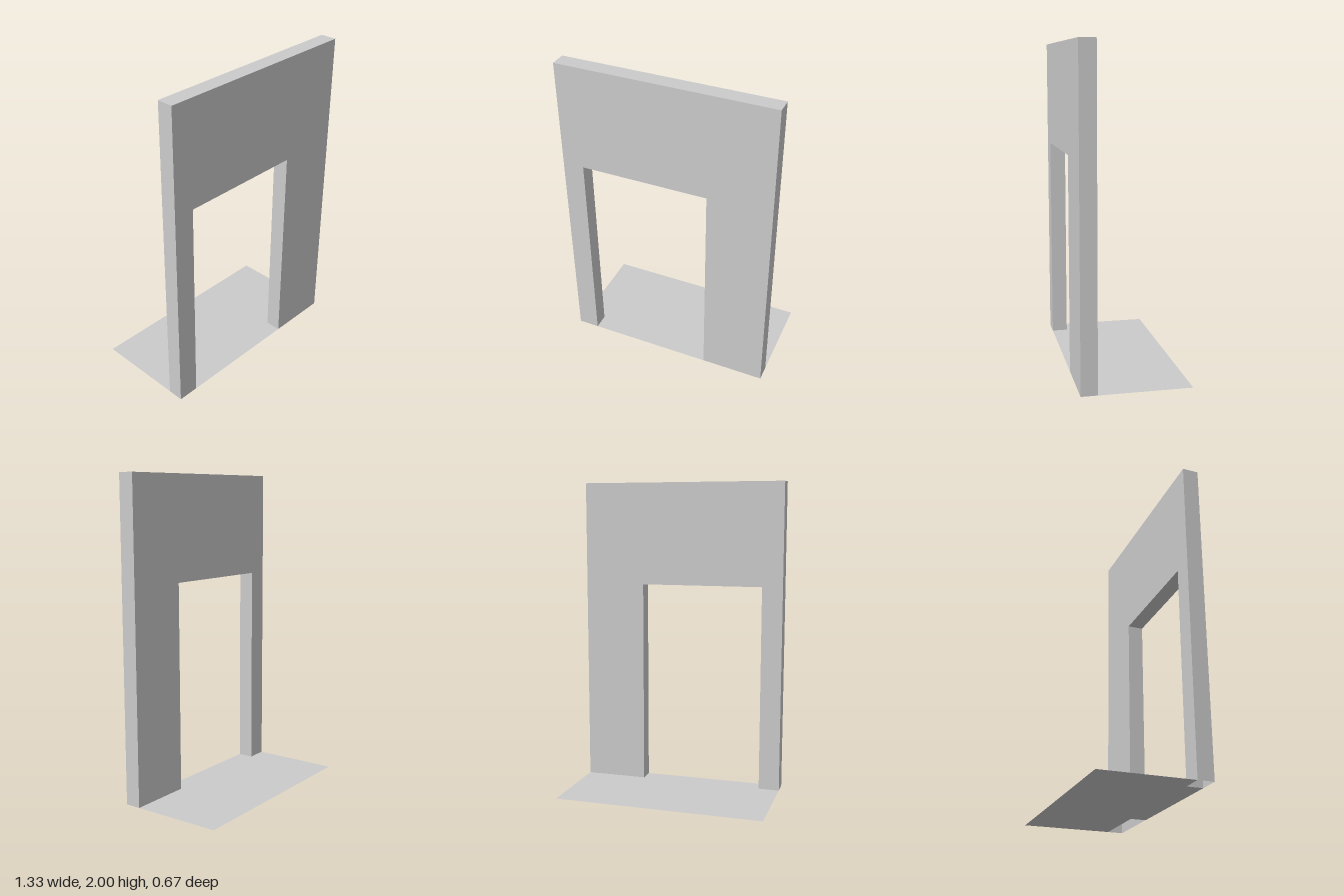
import * as THREE from 'three';

const HALF = 0.667, HEIGHT = 2;                       // wall extents
const DOOR_R = -0.533, DOOR_L = 0.267, DOOR_H = 1.335; // doorway
const FRONT = 0.333, BACK = 0.233, FLOOR_BACK = -0.333;

const material = new THREE.MeshStandardMaterial({ color: 0xcccccc, side: THREE.DoubleSide, flatShading: true });

const shapeOf = (points) => new THREE.Shape(points.map(([x, y]) => new THREE.Vector2(x, y)));

function add(group, name, geometry) {
  const mesh = new THREE.Mesh(geometry, material);
  mesh.name = name;
  group.add(mesh);
  return mesh;
}

// Flat strip joining front and back of the wall along an open outline (solid on the left of travel)
function edgeStrip(points) {
  const pos = [];
  for (let i = 0; i < points.length - 1; i++) {
    const [ax, ay] = points[i], [bx, by] = points[i + 1];
    pos.push(ax, ay, FRONT, ax, ay, BACK, bx, by, BACK);
    pos.push(ax, ay, FRONT, bx, by, BACK, bx, by, FRONT);
  }
  const geometry = new THREE.BufferGeometry();
  geometry.setAttribute('position', new THREE.Float32BufferAttribute(pos, 3));
  geometry.computeVertexNormals();
  return geometry;
}

export function createModel() {
  const model = new THREE.Group();
  model.name = 'doorwayWall';

  // Wall: two faces plus outer and doorway edges, open underneath
  const outer = [[HALF, 0], [HALF, HEIGHT], [-HALF, HEIGHT], [-HALF, 0]];
  const inner = [[DOOR_R, 0], [DOOR_R, DOOR_H], [DOOR_L, DOOR_H], [DOOR_L, 0]];
  const face = new THREE.ShapeGeometry(shapeOf([...outer, ...inner]));
  add(model, 'wallFront', face).position.z = FRONT;
  const rear = face.clone();
  const idx = rear.index.array;
  for (let i = 0; i < idx.length; i += 3) [idx[i], idx[i + 1]] = [idx[i + 1], idx[i]];
  rear.computeVertexNormals();
  add(model, 'wallBack', rear).position.z = BACK;
  add(model, 'wallOuterEdge', edgeStrip(outer));
  add(model, 'doorwayReveal', edgeStrip(inner));

  // Thin floor behind the wall, with a tongue forming the threshold (shape y = -z)
  const floor = new THREE.ShapeGeometry(shapeOf([
    [-HALF, -BACK], [DOOR_R, -BACK], [DOOR_R, -FRONT], [DOOR_L, -FRONT],
    [DOOR_L, -BACK], [HALF, -BACK], [HALF, -FLOOR_BACK], [-HALF, -FLOOR_BACK],
  ]));
  add(model, 'floor', floor.rotateX(-Math.PI / 2));

  return model;
}
